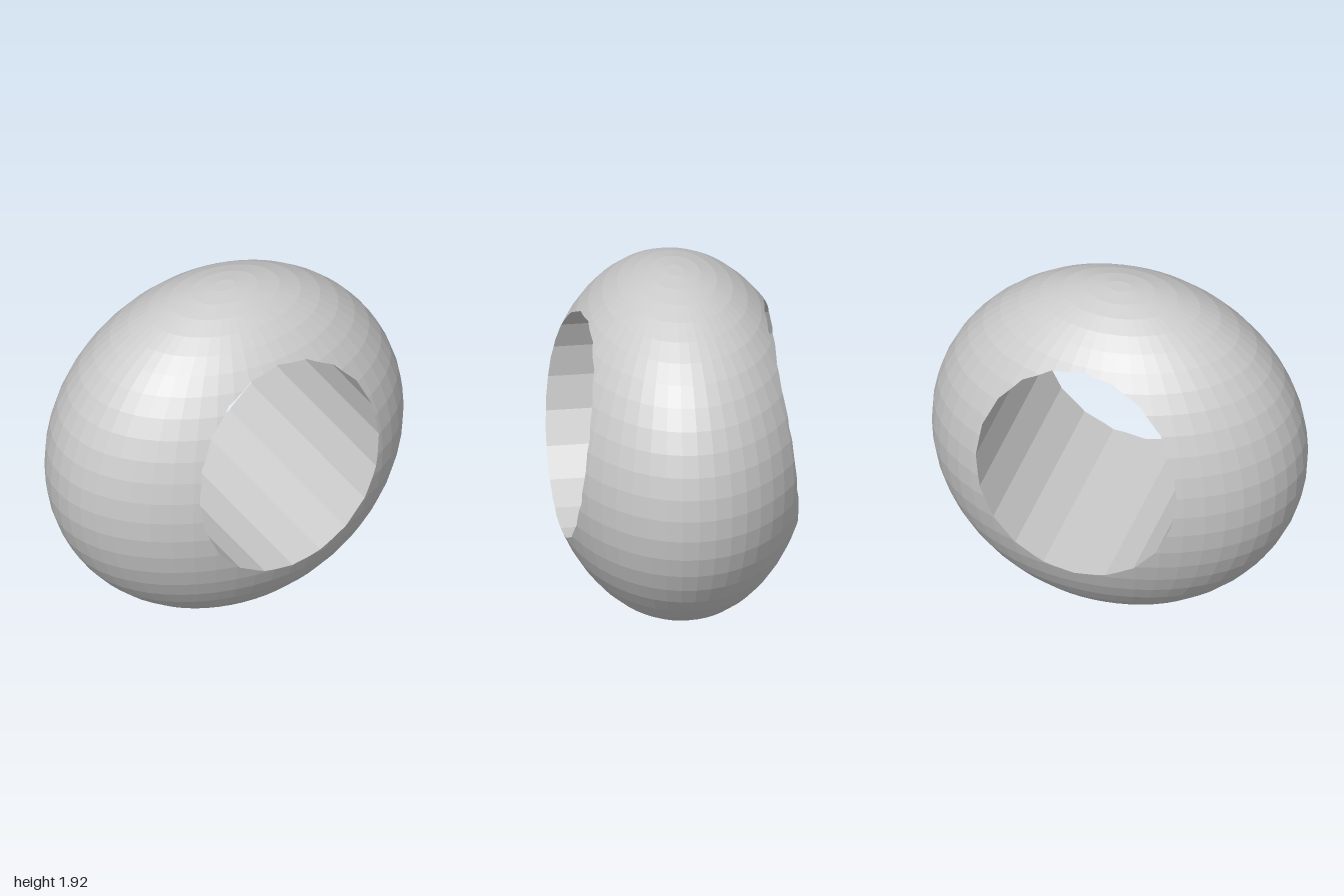
import * as THREE from 'three';

const SEGMENTS = 50, RINGS = 25;
const RADII = new THREE.Vector3(1, 0.962, 0.7), CENTRE_Y = 0.96;
const HOLE = { x: 0.055, y: 1.08, rx: 0.555, ry: 0.6, sides: 20 };

// Facets of the ellipsoid: rings at half steps, flat caps at both poles
function ellipsoidFacets() {
  const point = (i, j) => {
    const phi = Math.PI * (i + 0.5) / RINGS, t = 2 * Math.PI * (j % SEGMENTS) / SEGMENTS;
    return new THREE.Vector3(Math.cos(t) * Math.sin(phi), Math.cos(phi), Math.sin(t) * Math.sin(phi))
      .multiply(RADII).add(new THREE.Vector3(0, CENTRE_Y, 0));
  };
  const ring = i => Array.from({ length: SEGMENTS }, (_, j) => point(i, j));
  const facets = [ring(0).reverse(), ring(RINGS - 1)];
  for (let i = 0; i < RINGS - 1; i++) {
    for (let j = 0; j < SEGMENTS; j++) {
      facets.push([point(i, j + 1), point(i + 1, j + 1), point(i + 1, j), point(i, j)]);
    }
  }
  return facets;
}

// Sides of the oval hole, counter-clockwise, each as a signed distance (inside > 0)
function holeSides() {
  const corner = k => {
    const a = 2 * Math.PI * k / HOLE.sides;
    return new THREE.Vector2(HOLE.x + HOLE.rx * Math.cos(a), HOLE.y + HOLE.ry * Math.sin(a));
  };
  return Array.from({ length: HOLE.sides }, (_, k) => {
    const a = corner(k), d = corner(k + 1).sub(a).normalize();
    return p => d.x * (p.y - a.y) - d.y * (p.x - a.x);
  });
}

// Part of a convex polygon where distance * sign >= 0
function clip(polygon, distance, sign) {
  const out = [];
  polygon.forEach((p, i) => {
    const q = polygon[(i + 1) % polygon.length];
    const dp = distance(p) * sign, dq = distance(q) * sign;
    if (dp >= 0) out.push(p);
    if ((dp > 0 && dq < 0) || (dp < 0 && dq > 0)) out.push(p.clone().lerp(q, dp / (dp - dq)));
  });
  return out.length > 2 ? out : [];
}

// Unshared triangles give flat facets
function facetMesh(name, polygons) {
  const points = [];
  for (const p of polygons) {
    for (let i = 1; i < p.length - 1; i++) points.push(p[0], p[i], p[i + 1]);
  }
  const geometry = new THREE.BufferGeometry().setFromPoints(points);
  geometry.computeVertexNormals();
  const material = new THREE.MeshStandardMaterial({ color: 0xcccccc, flatShading: true });
  const mesh = new THREE.Mesh(geometry, material);
  mesh.name = name;
  return mesh;
}

export function createModel() {
  const sides = holeSides(), shell = [], walls = [];
  const mirror = p => new THREE.Vector3(p.x, p.y, -p.z);

  for (const facet of ellipsoidFacets()) {
    // Keep what lies outside the hole
    const kept = [];
    let inside = facet;
    for (const side of sides) {
      const outside = clip(inside, side, -1);
      if (outside.length) kept.push(outside);
      inside = clip(inside, side, 1);
      if (!inside.length) break;
    }
    if (!inside.length) {
      shell.push(facet);
      continue;
    }
    shell.push(...kept);

    // Where a front facet meets the hole, run a wall through to the back
    if (inside.some(p => p.z < 0)) continue;
    inside.forEach((a, i) => {
      const b = inside[(i + 1) % inside.length];
      if (sides.some(s => Math.abs(s(a)) < 1e-6 && Math.abs(s(b)) < 1e-6)) {
        walls.push([a, b, mirror(b), mirror(a)]);
      }
    });
  }

  const group = new THREE.Group();
  group.name = 'piercedEllipsoid';
  group.add(facetMesh('outerShell', shell), facetMesh('holeWall', walls));
  return group;
}
